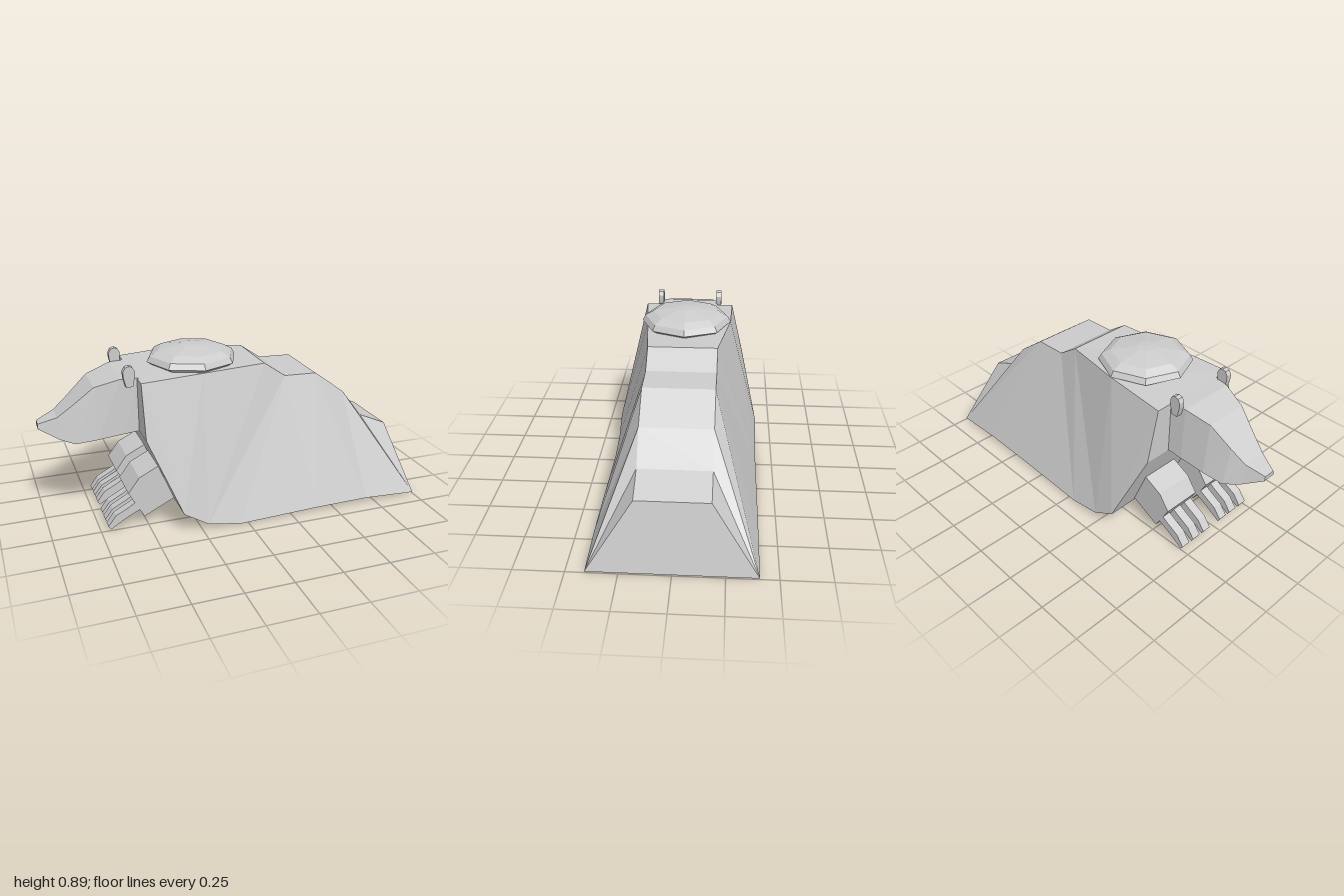
import * as THREE from 'three';

const material = new THREE.MeshStandardMaterial({ color: 0xcccccc, flatShading: true });

// Faceted mesh from quads of [x, y, z] corners, dropping collapsed triangles
function facets(name, quads) {
  const same = (p, q) => p.every((v, i) => v === q[i]);
  const pos = [];
  for (const [a, b, c, d] of quads) {
    for (const t of [[a, b, c], [a, c, d]]) {
      if (same(t[0], t[1]) || same(t[1], t[2]) || same(t[0], t[2])) continue;
      t.forEach((p) => pos.push(...p));
    }
  }
  const geometry = new THREE.BufferGeometry();
  geometry.setAttribute('position', new THREE.Float32BufferAttribute(pos, 3));
  geometry.computeVertexNormals();
  const mesh = new THREE.Mesh(geometry, material);
  mesh.name = name;
  return mesh;
}

// Outline in x/y given thickness along z, centred on the given z
function slab(name, outline, depth, z) {
  const shape = new THREE.Shape(outline.map(([x, y]) => new THREE.Vector2(x, y)));
  const geometry = new THREE.ExtrudeGeometry(shape, { depth, bevelEnabled: false });
  geometry.translate(0, 0, z - depth / 2);
  const mesh = new THREE.Mesh(geometry, material);
  mesh.name = name;
  return mesh;
}

// Body: upper edge narrow, lower edge wide, joined by sloping sides
function makeBody() {
  const rear = [[0.17, 0.797, 0.18], [0.29, 0.715, 0.18], [0.47, 0.71, 0.18],
    [0.64, 0.585, 0.18], [0.76, 0.43, 0.18], [0.92, 0.36, 0.18]];
  const shoulder = [-0.51, 0.785, 0.25];
  const upperLeft = [shoulder, [-0.18, 0.791, 0.216], ...rear];
  const upperRight = [shoulder, [-0.18, 0.81, 0.243], ...rear];
  const lower = [[-0.51, 0.505, 0.315], [-0.35, 0.115, 0.408], [-0.22, 0.035, 0.408],
    [-0.04, 0.004, 0.408], [0.4, 0.02, 0.408], [0.7, 0.025, 0.408], [1, 0.01, 0.408]];
  const pairs = [[0, 0], [0, 1], [1, 1], [1, 2], [2, 2], [3, 3], [3, 4], [4, 5], [5, 6], [6, 6], [7, 6]];
  const mirror = ([x, y, z]) => [x, y, -z];
  const quads = [];
  for (let i = 0; i < pairs.length - 1; i++) {
    const [u, l] = pairs[i], [v, m] = pairs[i + 1];
    quads.push([lower[l], lower[m], upperLeft[v], upperLeft[u]]);
    quads.push([lower[m], lower[l], upperRight[u], upperRight[v]].map(mirror));
  }
  // Strip around the front, belly, rear and back
  const left = [shoulder, ...lower, ...[...upperLeft].reverse()];
  const right = [shoulder, ...lower, ...[...upperRight].reverse()].map(mirror);
  for (let i = 0; i < left.length - 1; i++) {
    quads.push([right[i], right[i + 1], left[i + 1], left[i]]);
  }
  return facets('body', quads);
}

// Head: four-sided sections tapering to the snout
function makeHead() {
  // x, bottom y, bottom half width, top y, top half width
  const rings = [
    [-0.5, 0.507, 0.17, 0.787, 0.165],
    [-0.59, 0.495, 0.162, 0.785, 0.15],
    [-0.72, 0.475, 0.147, 0.745, 0.115],
    [-0.83, 0.46, 0.128, 0.65, 0.085],
    [-0.905, 0.48, 0.085, 0.59, 0.065],
    [-1, 0.53, 0.035, 0.555, 0.03],
  ].map(([x, yb, wb, yt, wt]) => [[x, yb, wb], [x, yb, -wb], [x, yt, -wt], [x, yt, wt]]);
  const quads = [];
  for (let i = 0; i < rings.length - 1; i++) {
    const s = rings[i], n = rings[i + 1];
    for (let j = 0; j < 4; j++) {
      const k = (j + 1) % 4;
      quads.push([s[j], n[j], n[k], s[k]]);
    }
  }
  const tip = rings[rings.length - 1];
  quads.push([tip[0], tip[3], tip[2], tip[1]]);
  return facets('head', quads);
}

export function createModel() {
  const model = new THREE.Group();
  model.name = 'burrowingAnimal';
  model.add(makeBody(), makeHead());

  // Octagonal domed plate on the back
  const profile = [[0, 0.785], [0.2, 0.785], [0.243, 0.812], [0.226, 0.842], [0.18, 0.867],
    [0.05, 0.889], [0, 0.891]].map(([r, y]) => new THREE.Vector2(r, y));
  const dome = new THREE.Mesh(new THREE.LatheGeometry(profile, 8), material);
  dome.name = 'backDome';
  dome.position.x = -0.175;
  model.add(dome);

  const earOutline = [[-0.535, 0.75], [-0.525, 0.8], [-0.523, 0.83], [-0.535, 0.852], [-0.553, 0.858],
    [-0.572, 0.852], [-0.584, 0.83], [-0.582, 0.8], [-0.57, 0.75]];
  const armOutline = [[-0.33, 0.15], [-0.52, 0.055], [-0.6, 0.2], [-0.54, 0.28], [-0.44, 0.33], [-0.33, 0.37]];
  const fingerOutline = [[-0.53, 0.105], [-0.62, 0.06], [-0.7, 0.01], [-0.712, 0.03], [-0.67, 0.085],
    [-0.595, 0.125], [-0.54, 0.16]];

  for (const [side, s] of [['left', 1], ['right', -1]]) {
    model.add(slab(side + 'Ear', earOutline, 0.03, s * 0.17));
    const paw = new THREE.Group();
    paw.name = side + 'Paw';
    paw.add(slab('arm', armOutline, 0.21, s * 0.145));
    for (const z of [0.065, 0.145, 0.225]) paw.add(slab('finger', fingerOutline, 0.05, s * z));
    model.add(paw);
  }
  return model;
}
